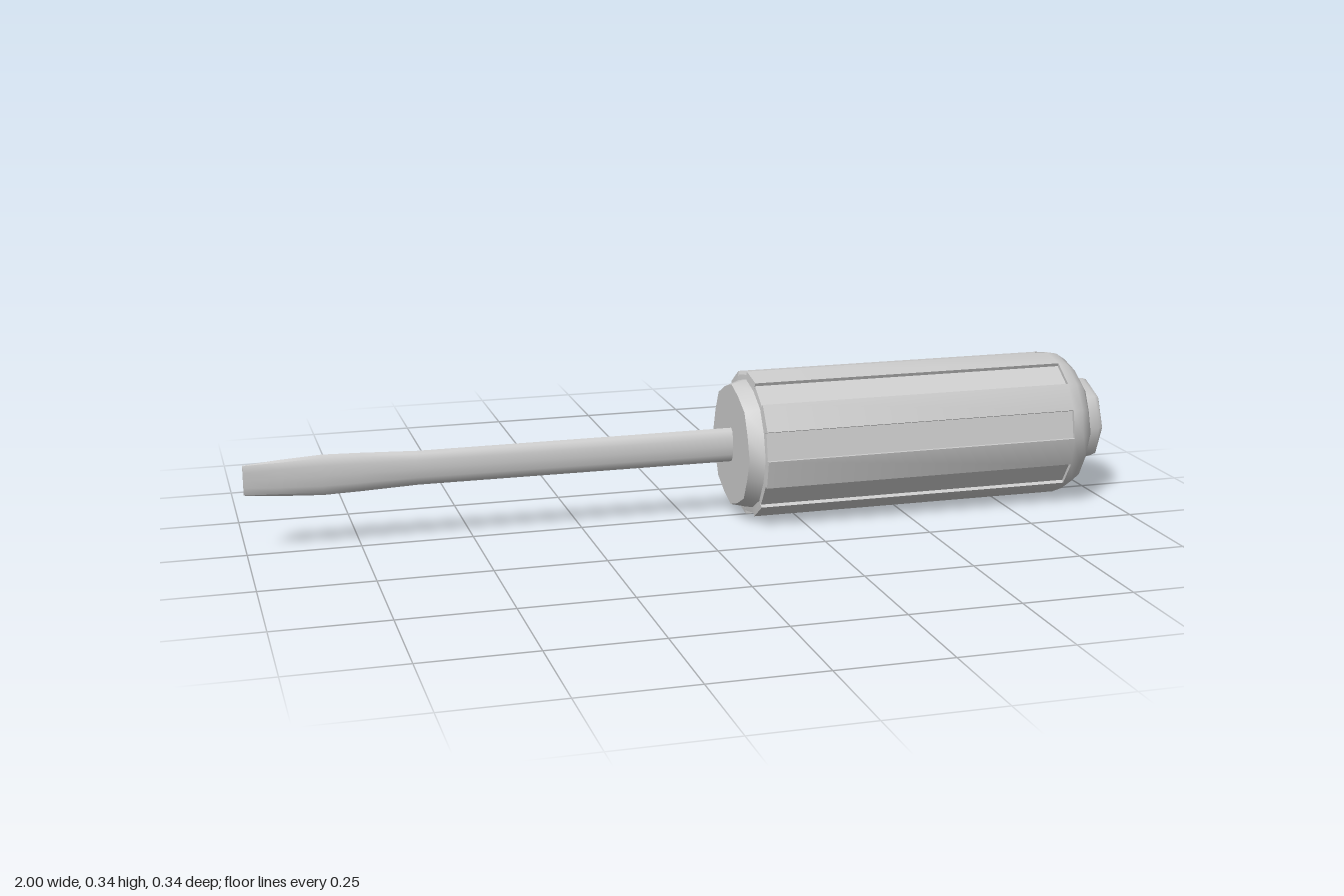
import * as THREE from 'three';
import { toCreasedNormals } from 'three/addons/utils/BufferGeometryUtils.js';

const AXIS_Y = 0.17;

// Joins cross-section loops (arrays of [x, y, z]) into a closed, creased surface.
function loft(loops, crease) {
  const pos = [];
  const n = loops[0].length;
  const a = new THREE.Vector3(), b = new THREE.Vector3(), c = new THREE.Vector3();
  const tri = (p, q, r) => {
    a.set(...p); b.set(...q).sub(a); c.set(...r).sub(a);
    if (b.cross(c).length() > 1e-9) pos.push(...p, ...q, ...r);
  };
  for (let i = 0; i < loops.length - 1; i++) {
    const L = loops[i], M = loops[i + 1];
    for (let j = 0; j < n; j++) {
      const k = (j + 1) % n;
      tri(L[j], L[k], M[k]);
      tri(L[j], M[k], M[j]);
    }
  }
  // end caps
  const first = loops[0], last = loops[loops.length - 1];
  const centre = (L) => [L[0][0], 0, 0];
  for (let j = 0; j < n; j++) {
    const k = (j + 1) % n;
    tri(centre(first), first[k], first[j]);
    tri(centre(last), last[j], last[k]);
  }
  const g = new THREE.BufferGeometry();
  g.setAttribute('position', new THREE.Float32BufferAttribute(pos, 3));
  return toCreasedNormals(g, crease);
}

// Handle loop: 8 sectors, each a ridge facet and a groove facet.
// oct = 0 gives a regular 16-gon, oct = 1 an octagon.
function handleLoop([x, r, groove = 0, oct = 0]) {
  const loop = [];
  const mid = 1 - oct * (1 - Math.cos(Math.PI / 8));
  for (let s = 0; s < 8; s++) {
    for (let k = 0; k < 4; k++) {
      const half = k === 0 ? 0 : k === 3 ? 2 : 1;
      const ang = (s * 2 + half) * Math.PI / 8;
      const rr = (half === 1 ? r * mid : r) - (k > 1 ? groove : 0);
      loop.push([x, rr * Math.cos(ang), rr * Math.sin(ang)]);
    }
  }
  return loop;
}

// Octagonal loop around the axis
const ringLoop = ([x, r]) => Array.from({ length: 8 }, (_, i) => {
  const t = i * Math.PI / 4;
  return [x, r * Math.cos(t), r * Math.sin(t)];
});

// Flattened blade loop: half height in y, half thickness in z
const bladeLoop = ([x, h, d]) => Array.from({ length: 12 }, (_, i) => {
  const t = i * Math.PI / 6;
  return [x, h * Math.cos(t), d * Math.sin(t)];
});

// Tip loop with the same point count but a rectangular outline
const tipLoop = ([x, h, d]) => Array.from({ length: 12 }, (_, i) => {
  const t = i * Math.PI / 6;
  const flat = i % 6 === 0 ? 0 : Math.sign(Math.sin(t)) * d;
  const c = Math.cos(t);
  return [x, h * (Math.abs(c) > 0.8 ? Math.sign(c) : c), flat];
});

export function createModel() {
  const group = new THREE.Group();
  const material = new THREE.MeshStandardMaterial({ color: 0xcccccc });
  const add = (name, geometry) => {
    const mesh = new THREE.Mesh(geometry, material);
    mesh.name = name;
    mesh.position.y = AXIS_Y;
    group.add(mesh);
  };

  // Grip with collar, shallow grooves and rounded end: [x, radius, groove, oct]
  add('handle', loft([
    [0.105, 0.143, 0, 0.6],
    [0.14, 0.152, 0, 0.3],
    [0.142, 0.17, 0.008],
    [0.89, 0.17, 0.008],
    [0.89, 0.17],
    [0.915, 0.165, 0, 0.1],
    [0.937, 0.15, 0, 0.3],
    [0.95, 0.13, 0, 0.6],
    [0.954, 0.1, 0, 1],
  ].map(handleLoop), 0.8));

  // Octagonal end ring with a hollow bowl
  add('endRing', loft([
    [0.94, 0.097], [0.955, 0.1], [0.985, 0.101], [0.996, 0.097],
    [1.0, 0.089], [0.995, 0.082], [0.975, 0.074], [0.96, 0.055], [0.955, 0.025],
  ].map(ringLoop), 0.85));

  // Shaft, flaring slightly before it narrows to a thin flat tip
  add('blade', loft([
    tipLoop([-1, 0.033, 0.003]),
    ...[
      [-0.92, 0.041, 0.008],
      [-0.83, 0.046, 0.012],
      [-0.75, 0.044, 0.0125],
      [-0.62, 0.039, 0.013],
      [0.12, 0.04, 0.018],
    ].map(bladeLoop),
  ], 1.0));

  return group;
}
